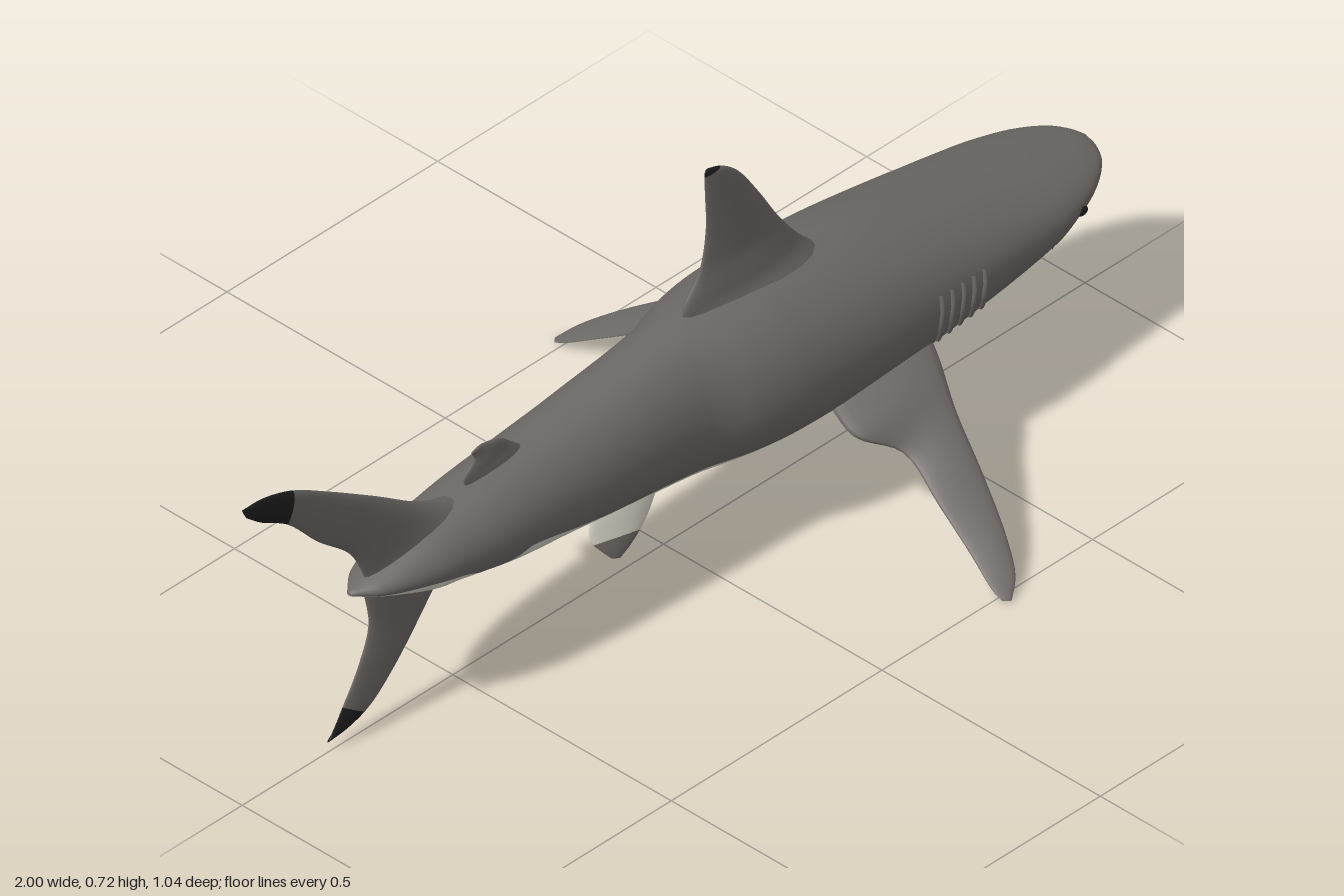
import * as THREE from 'three';

const mat = (name, color) => {
  const m = new THREE.MeshStandardMaterial({ color });
  m.name = name;
  return m;
};

// Body stations: x, top, widest height, bottom, half width, colour border height
const STATIONS = [
  [-0.745, 0.306, 0.302, 0.298, 0.006, 0.3],
  [-0.7, 0.322, 0.302, 0.283, 0.042, 0.295],
  [-0.6, 0.355, 0.3, 0.245, 0.074, 0.285],
  [-0.54, 0.367, 0.298, 0.235, 0.083, 0.272],
  [-0.48, 0.377, 0.296, 0.222, 0.09, 0.24],
  [-0.44, 0.383, 0.295, 0.213, 0.093, 0.245],
  [-0.4, 0.388, 0.294, 0.205, 0.095, 0.265],
  [-0.27, 0.403, 0.29, 0.192, 0.101, 0.235],
  [-0.2, 0.411, 0.29, 0.18, 0.104, 0.222],
  [0, 0.44, 0.29, 0.155, 0.113, 0.2],
  [0.1, 0.45, 0.29, 0.15, 0.145, 0.198],
  [0.2, 0.453, 0.29, 0.148, 0.161, 0.198],
  [0.4, 0.44, 0.29, 0.155, 0.166, 0.205],
  [0.6, 0.405, 0.29, 0.175, 0.157, 0.22],
  [0.8, 0.362, 0.291, 0.208, 0.14, 0.25],
  [0.86, 0.349, 0.294, 0.24, 0.127, 0.272],
  [0.92, 0.335, 0.3, 0.266, 0.104, 0.285],
  [0.97, 0.323, 0.305, 0.286, 0.068, 0.297],
  [0.992, 0.316, 0.307, 0.299, 0.034, 0.304],
  [1, 0.311, 0.308, 0.305, 0.004, 0.307],
];

// Smooth interpolation of the stations along x
function station(x) {
  const S = STATIONS, n = S.length;
  let i = 0;
  while (i < n - 2 && x > S[i + 1][0]) i++;
  const h = S[i + 1][0] - S[i][0], t = (x - S[i][0]) / h;
  const slope = (j, k) => {
    const a = S[Math.max(j - 1, 0)], b = S[Math.min(j + 1, n - 1)];
    return (b[k] - a[k]) / (b[0] - a[0]);
  };
  return S[i].map((v, k) => {
    const w = S[i + 1][k], t2 = t * t, t3 = t2 * t;
    return (2 * t3 - 3 * t2 + 1) * v + (t3 - 2 * t2 + t) * h * slope(i, k)
      + (3 * t2 - 2 * t3) * w + (t3 - t2) * h * slope(i + 1, k);
  });
}

// Point on the skin: angle 0 is the +z flank, 90 degrees the spine
function skin(x, angle) {
  const [, top, mid, bottom, w] = station(x), s = Math.sin(angle);
  return new THREE.Vector3(x, mid + s * (s > 0 ? top - mid : mid - bottom), w * Math.cos(angle));
}

// Joins equal rings into a closed skin; pick(row, column) gives the material index
function loft(rings, pick, materials, name) {
  const n = rings[0].length, pts = rings.flat(), lists = materials.map(() => []);
  const tri = (list, a, b, c) => lists[list].push(a, b, c);
  for (let r = 0; r < rings.length - 1; r++) {
    for (let c = 0; c < n; c++) {
      const d = (c + 1) % n, k = pick(r, c);
      tri(k, r * n + c, r * n + d, (r + 1) * n + c);
      tri(k, r * n + d, (r + 1) * n + d, (r + 1) * n + c);
    }
  }
  const last = (rings.length - 1) * n;
  for (let c = 1; c < n - 1; c++) {
    tri(pick(0, c), 0, c + 1, c);
    tri(pick(rings.length - 2, c), last, last + c, last + c + 1);
  }
  // Turn the faces outward, judged by the enclosed volume
  let volume = 0;
  const cross = new THREE.Vector3();
  for (const l of lists) for (let i = 0; i < l.length; i += 3)
    volume += pts[l[i]].dot(cross.crossVectors(pts[l[i + 1]], pts[l[i + 2]]));
  if (volume < 0) lists.forEach(l => l.reverse());
  const geo = new THREE.BufferGeometry().setFromPoints(pts);
  geo.setIndex(lists.flat());
  let start = 0;
  lists.forEach((l, i) => { geo.addGroup(start, l.length, i); start += l.length; });
  geo.computeVertexNormals();
  const mesh = new THREE.Mesh(geo, materials);
  mesh.name = name;
  return mesh;
}

// Fin from sections [leading xyz, trailing xyz, half thickness], lens shaped across
function fin(name, sections, normal, materials, pick, side = 1) {
  const V = a => new THREE.Vector3(a[0], a[1], a[2] * side);
  const lead = new THREE.CatmullRomCurve3(sections.map(s => V(s[0])));
  const trail = new THREE.CatmullRomCurve3(sections.map(s => V(s[1])));
  const across = V(normal).normalize(), rows = (sections.length - 1) * 5, half = 10;
  const rings = [];
  for (let r = 0; r <= rows; r++) {
    const v = r / rows, f = v * (sections.length - 1), i = Math.min(Math.floor(f), sections.length - 2);
    const thick = THREE.MathUtils.lerp(sections[i][2], sections[i + 1][2], f - i);
    const a = lead.getPoint(v), b = trail.getPoint(v), ring = [];
    for (let c = 0; c < half * 2; c++) {
      const ang = Math.PI * c / half, u = (1 - Math.cos(ang)) / 2;
      ring.push(a.clone().lerp(b, u).addScaledVector(across, thick * Math.sin(ang) * (1.25 - 0.6 * u)));
    }
    rings.push(ring);
  }
  return loft(rings, (r, c) => pick((r + 0.5) / rows, c >= half), materials, name);
}

export function createModel() {
  const grey = mat('back grey', 0x6b6764), pale = mat('belly pale', 0xd2d0c4);
  const black = mat('tip black', 0x1e1e1e);
  const shark = new THREE.Group();
  shark.name = 'shark';

  // Body, split into grey back and pale belly
  const rings = [], BACK = 30, BELLY = 18;
  for (let i = 0; i < STATIONS.length - 1; i++) {
    for (let k = 0; k < 5; k++) rings.push(THREE.MathUtils.lerp(STATIONS[i][0], STATIONS[i + 1][0], k / 5));
  }
  rings.push(1);
  const bodyRings = rings.map(x => {
    const [, , mid, bottom, , border] = station(x);
    const b = Math.asin(THREE.MathUtils.clamp((border - mid) / (mid - bottom), -0.95, -0.05));
    const ring = [];
    for (let c = 0; c < BACK; c++) ring.push(skin(x, b + (Math.PI - 2 * b) * c / BACK));
    for (let c = 0; c < BELLY; c++) ring.push(skin(x, Math.PI - b + (Math.PI + 2 * b) * c / BELLY));
    return ring;
  });
  shark.add(loft(bodyRings, (r, c) => (c < BACK ? 0 : 1), [grey, pale], 'body'));

  // Fins on the centre line
  const tipFrom = limit => v => (v > limit ? 1 : 0);
  const flat = list => list.map(([a, b, c, d, t]) => [[a, b, 0], [c, d, 0], t]);
  const centreFin = (name, list, limit) =>
    shark.add(fin(name, flat(list), [0, 0, 1], [grey, black], tipFrom(limit)));
  centreFin('dorsalFin', [
    [0.38, 0.42, 0.06, 0.42, 0.06], [0.325, 0.467, 0.045, 0.457, 0.032], [0.275, 0.53, 0.085, 0.52, 0.018],
    [0.225, 0.61, 0.1, 0.6, 0.013], [0.175, 0.68, 0.098, 0.67, 0.009], [0.14, 0.708, 0.097, 0.703, 0.006],
    [0.108, 0.72, 0.098, 0.717, 0.002]], 0.86);
  centreFin('secondDorsalFin', [
    [-0.33, 0.385, -0.47, 0.375, 0.014], [-0.36, 0.41, -0.475, 0.392, 0.009],
    [-0.39, 0.433, -0.45, 0.42, 0.006], [-0.43, 0.443, -0.457, 0.437, 0.002]], 2);
  centreFin('upperTailLobe', [
    [-0.46, 0.36, -0.705, 0.3, 0.035], [-0.56, 0.393, -0.715, 0.33, 0.024], [-0.69, 0.475, -0.745, 0.385, 0.014],
    [-0.8, 0.543, -0.82, 0.45, 0.01], [-0.88, 0.588, -0.893, 0.525, 0.008],
    [-0.95, 0.609, -0.955, 0.562, 0.005], [-1, 0.611, -0.99, 0.59, 0.002]], 0.67);
  centreFin('lowerTailLobe', [
    [-0.52, 0.265, -0.715, 0.3, 0.03], [-0.58, 0.175, -0.7, 0.21, 0.016], [-0.65, 0.092, -0.73, 0.13, 0.011],
    [-0.7, 0.05, -0.757, 0.085, 0.009], [-0.75, 0.032, -0.777, 0.052, 0.006],
    [-0.797, 0.025, -0.79, 0.033, 0.002]], 0.62);
  centreFin('analFin', [
    [-0.37, 0.225, -0.46, 0.23, 0.012], [-0.42, 0.2, -0.468, 0.212, 0.008],
    [-0.452, 0.185, -0.47, 0.192, 0.002]], 2);

  // Paired parts
  for (const side of [1, -1]) {
    const word = side > 0 ? 'right' : 'left';
    // Pectoral fin, pale beneath
    shark.add(fin(word + 'PectoralFin', [
      [[0.51, 0.235, 0.11], [0.27, 0.215, 0.11], 0.024], [[0.475, 0.217, 0.175], [0.255, 0.187, 0.19], 0.019],
      [[0.435, 0.175, 0.25], [0.315, 0.15, 0.245], 0.015], [[0.4, 0.122, 0.34], [0.3, 0.1, 0.34], 0.011],
      [[0.355, 0.065, 0.44], [0.285, 0.05, 0.43], 0.008], [[0.32, 0.027, 0.497], [0.272, 0.018, 0.49], 0.005],
      [[0.285, 0.006, 0.522], [0.272, 0.008, 0.512], 0.002]],
    [-0.1, 0.86, 0.5], [grey, pale], (v, under) => (under ? 1 : 0), side));
    // Pelvic fin, pale at the root
    shark.add(fin(word + 'PelvicFin', [
      [[-0.07, 0.21, 0.06], [-0.24, 0.23, 0.065], 0.014], [[-0.13, 0.172, 0.085], [-0.265, 0.2, 0.085], 0.009],
      [[-0.18, 0.155, 0.1], [-0.25, 0.175, 0.1], 0.006], [[-0.215, 0.148, 0.108], [-0.235, 0.157, 0.108], 0.002]],
    [0, 0.6, 0.8], [pale, grey], (v, under) => (!under && v > 0.45 ? 1 : 0), side));
    // Gill folds
    for (let i = 0; i < 5; i++) {
      const pts = [0.3, 0.12, -0.1, -0.3, -0.45].map((a, k) => {
        const p = skin(0.49 + i * 0.027 + 0.004 * Math.abs(k - 2), a);
        p.z *= side;
        return p;
      });
      const gill = new THREE.Mesh(
        new THREE.TubeGeometry(new THREE.CatmullRomCurve3(pts), 14, 0.005, 6), grey);
      gill.name = word + 'GillFold';
      shark.add(gill);
    }
    // Eye and nostril
    for (const [name, x, a, size] of [['Eye', 0.865, -0.1, 0.011], ['Nostril', 0.945, -1.0, 0.006]]) {
      const spot = new THREE.Mesh(new THREE.SphereGeometry(size, 14, 10), black);
      spot.position.copy(skin(x, a));
      spot.position.z *= side;
      spot.scale.set(1.1, 0.8, 0.4);
      spot.name = word + name;
      shark.add(spot);
    }
  }

  // Mouth crescent under the snout
  const mouthPts = [];
  for (let t = -1; t <= 1.01; t += 0.2) mouthPts.push(skin(0.885 - 0.09 * t * t, -Math.PI / 2 + t * 1.0));
  const mouth = new THREE.Mesh(
    new THREE.TubeGeometry(new THREE.CatmullRomCurve3(mouthPts), 40, 0.004, 6), black);
  mouth.name = 'mouth';
  shark.add(mouth);
  return shark;
}
